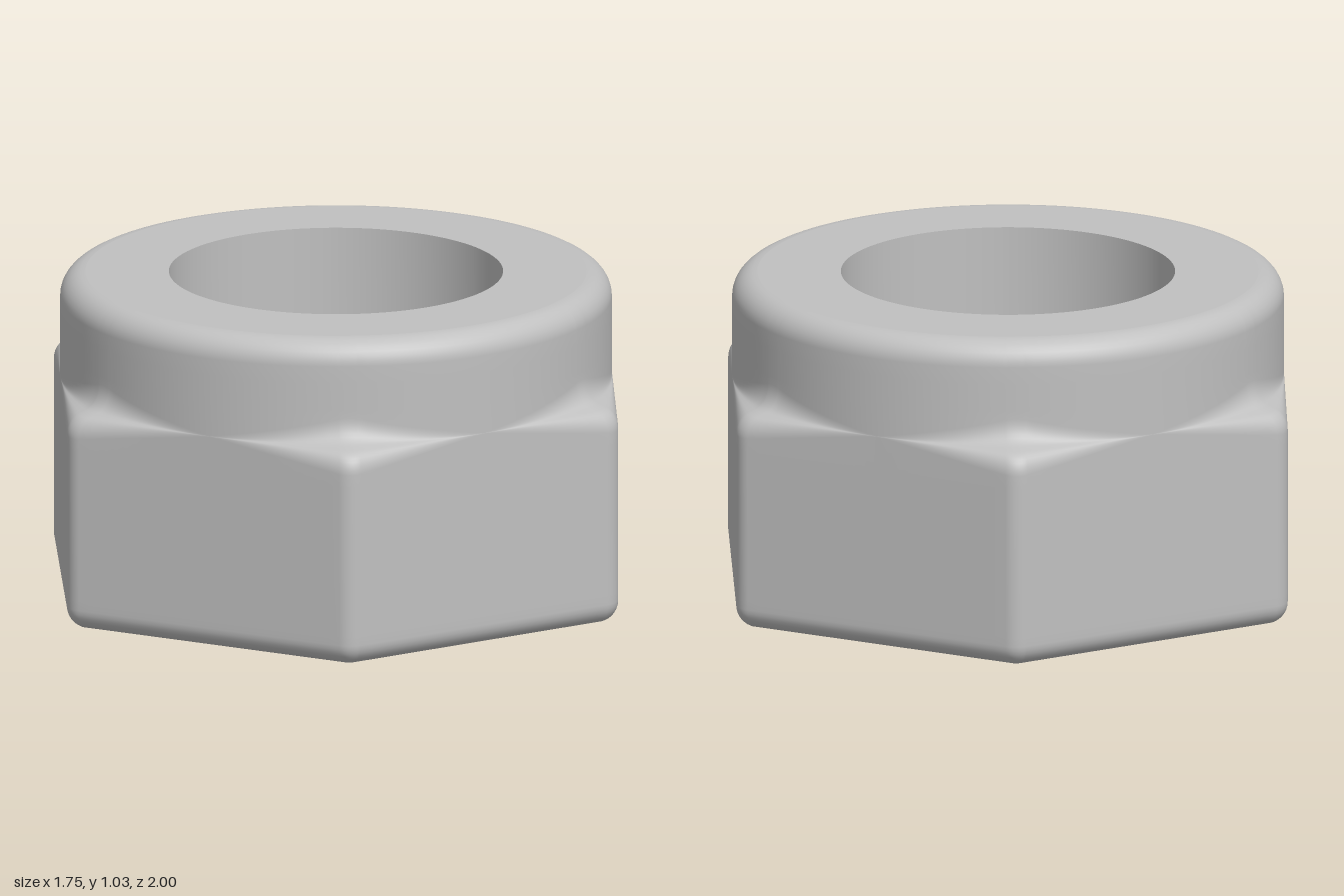
import * as THREE from 'three';

const APOTHEM = 0.875, EDGE = 0.07, COLLAR = 0.875, BORE = 0.53, CHAMFER = 0.087;
const HEIGHT = 1.035, SHOULDER = 0.7, ARC = 8, FLAT = 24;

// Rounded hexagon outline, corners on +z and -z: arc centres plus unit normals
function makeOutline() {
  const pts = [];
  const R = (APOTHEM - EDGE) / Math.cos(Math.PI / 6);
  for (let k = 0; k < 6; k++) {
    const a = k * Math.PI / 3, b = a + Math.PI / 3;
    const c0 = new THREE.Vector2(Math.sin(a) * R, Math.cos(a) * R);
    const c1 = new THREE.Vector2(Math.sin(b) * R, Math.cos(b) * R);
    for (let i = 0; i <= ARC; i++) {
      const n = a + (i / ARC - 0.5) * Math.PI / 3;
      pts.push({ c: c0, n: new THREE.Vector2(Math.sin(n), Math.cos(n)) });
    }
    const m = a + Math.PI / 6;
    for (let i = 1; i < FLAT; i++) {
      pts.push({ c: c0.clone().lerp(c1, i / FLAT), n: new THREE.Vector2(Math.sin(m), Math.cos(m)) });
    }
  }
  return pts;
}

// Closed rings skinned in order, with shared vertices for smooth normals
function loft(rings) {
  const count = rings[0].length, index = [];
  for (let i = 0; i < rings.length - 1; i++) {
    for (let j = 0; j < count; j++) {
      const a = i * count + j, b = i * count + (j + 1) % count;
      index.push(a, b, a + count, b, b + count, a + count);
    }
  }
  const geo = new THREE.BufferGeometry();
  geo.setAttribute('position', new THREE.Float32BufferAttribute(rings.flat(2), 3));
  geo.setIndex(index);
  geo.computeVertexNormals();
  return geo;
}

export function createModel() {
  const group = new THREE.Group();
  const steel = new THREE.MeshStandardMaterial({ color: 0xc0c0c0 });
  steel.name = 'plain steel';
  const outline = makeOutline();

  const hexRing = (inset, y) => outline.map(({ c, n }) =>
    [c.x + n.x * (EDGE - inset), y, c.y + n.y * (EDGE - inset)]);
  const dirs = outline.map(({ c, n }) => c.clone().addScaledVector(n, EDGE));
  const roundRing = (r, y) => dirs.map(p => [p.x / p.length() * r, y, p.y / p.length() * r]);

  // Shoulder ring: the corner profile shrinks to nothing at the middle of each flat
  const shoulderRing = (u, dy) => dirs.map(p => {
    const h = p.length(), t = Math.max(0.001, (h - COLLAR) / (1 - COLLAR));
    const r = COLLAR + u * (h - COLLAR);
    return [p.x / h * r, SHOULDER + dy * Math.sqrt(t), p.y / h * r];
  });

  const add = (name, rings) => {
    const mesh = new THREE.Mesh(loft(rings), steel);
    mesh.name = name;
    group.add(mesh);
  };

  // Outer skin: bottom rounding, hex flats, shoulder, collar, top rounding
  const skin = [];
  for (let i = 0; i <= 8; i++) {
    const a = i / 8 * Math.PI / 2;
    skin.push(hexRing(EDGE * (1 - Math.sin(a)), EDGE * (1 - Math.cos(a))));
  }
  for (const y of [0.1, 0.3, 0.5, 0.59]) skin.push(hexRing(0, y));
  for (let i = 0; i <= 7; i++) {
    const a = i / 7 * Math.PI / 2 * 0.9;
    skin.push(shoulderRing(1 - 0.48 * (1 - Math.cos(a)), -0.07 + 0.07 * Math.sin(a)));
  }
  for (let i = 0; i <= 7; i++) {
    const a = (0.1 + i / 7 * 0.9) * Math.PI / 2;
    skin.push(shoulderRing(0.5 * (1 - Math.sin(a)), 0.085 - 0.08 * Math.cos(a)));
  }
  for (const y of [0.81, 0.9]) skin.push(roundRing(COLLAR, y));
  const round = 0.08;
  for (let i = 0; i <= 8; i++) {
    const a = i / 8 * Math.PI / 2;
    skin.push(roundRing(COLLAR - round * (1 - Math.cos(a)), HEIGHT - round * (1 - Math.sin(a))));
  }
  add('hexBodyAndCollar', skin);

  // Flat faces, bore and its lower lead-in
  add('bottomFace', [roundRing(BORE + CHAMFER, 0), hexRing(EDGE, 0)]);
  add('topFace', [roundRing(COLLAR - round, HEIGHT), roundRing(BORE, HEIGHT)]);
  add('bore', [roundRing(BORE, HEIGHT), roundRing(BORE, CHAMFER)]);
  add('boreChamfer', [roundRing(BORE, CHAMFER), roundRing(BORE + CHAMFER, 0)]);
  return group;
}
